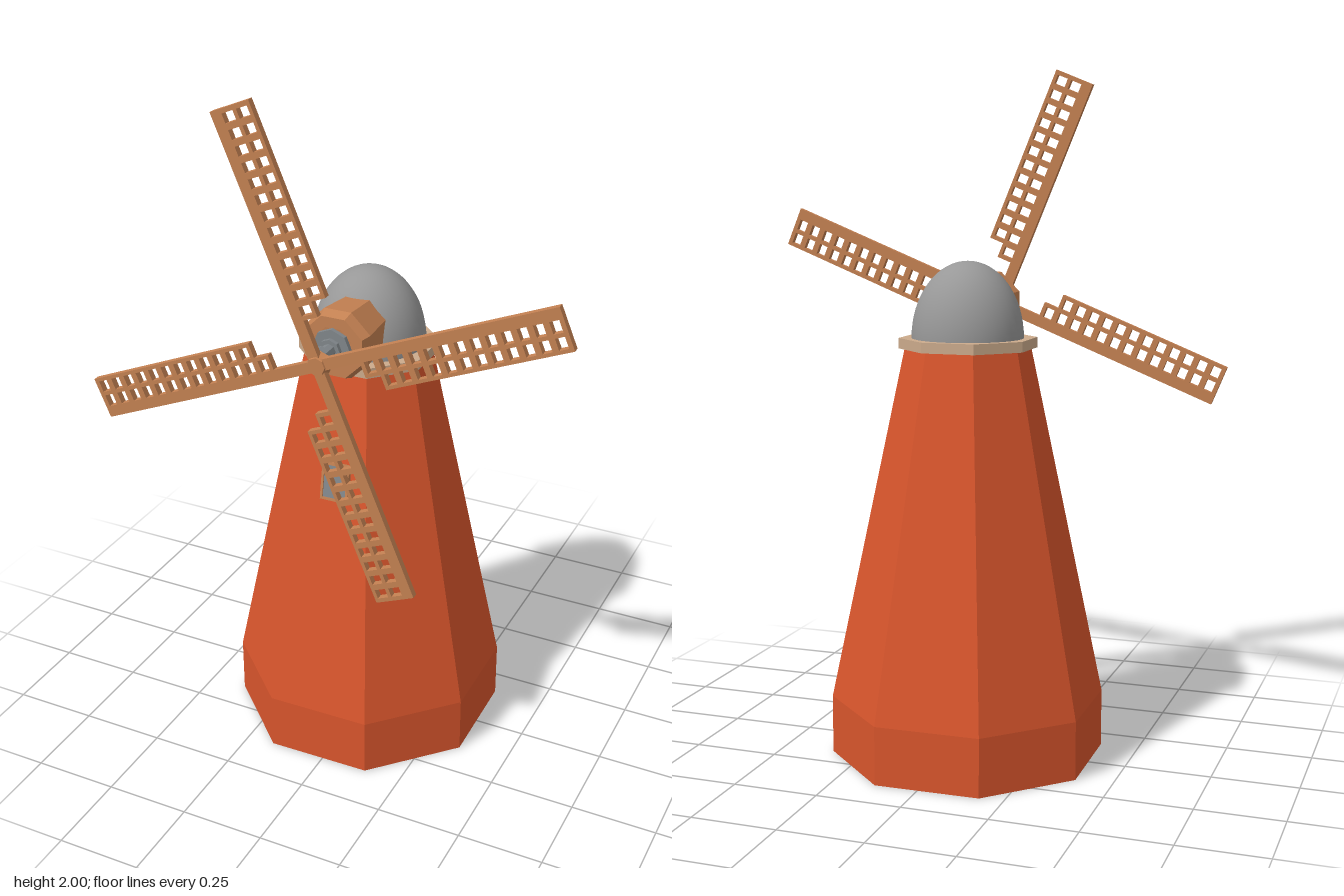
import * as THREE from 'three';

const mat = (color, flat = true) =>
  new THREE.MeshStandardMaterial({ color, flatShading: flat, side: THREE.DoubleSide });
const red = mat(0xd8552c);
const wood = mat(0xc48152);
const stone = mat(0xccab8c);
const steel = mat(0x80868a);
const domeGrey = mat(0x989898, false);

function add(parent, name, geometry, material, x = 0, y = 0, z = 0) {
  const mesh = new THREE.Mesh(geometry, material);
  mesh.name = name;
  mesh.position.set(x, y, z);
  parent.add(mesh);
  return mesh;
}

// Eight-sided lathe with flat sides facing the axes; profile is [flat radius, height]
function octagon(profile) {
  const k = 1 / Math.cos(Math.PI / 8);
  const pts = profile.map(([r, h]) => new THREE.Vector2(r * k, h));
  return new THREE.LatheGeometry(pts, 8, Math.PI / 8);
}

const rect = (Type, x0, y0, x1, y1) =>
  new Type([[x0, y0], [x1, y0], [x1, y1], [x0, y1]].map(([x, y]) => new THREE.Vector2(x, y)));

// Sail pointing up: spar on the axis, stepped lattice on its +x side
function sailGeometry() {
  const shape = new THREE.Shape([
    [-0.016, 0], [0.016, 0], [0.016, 0.13], [0.06, 0.13], [0.06, 0.175],
    [0.104, 0.175], [0.104, 0.715], [-0.016, 0.715],
  ].map(([x, y]) => new THREE.Vector2(x, y)));
  const pitch = 0.0445;
  for (let row = -1; row < 12; row++) {
    const y0 = 0.186 + row * pitch;
    const y1 = y0 + 0.027;
    shape.holes.push(rect(THREE.Path, 0.016, y0, 0.05, y1));
    if (row >= 0) shape.holes.push(rect(THREE.Path, 0.061, y0, 0.094, y1));
  }
  const geometry = new THREE.ExtrudeGeometry(shape, { depth: 0.02, bevelEnabled: false });
  return geometry.translate(0, 0, -0.01);
}

export function createModel() {
  const model = new THREE.Group();
  model.name = 'windmill';

  // Tower: straight plinth, long taper, open underneath
  const body = new THREE.Group();
  body.name = 'body';
  body.position.set(-0.02, 0, -0.004);
  body.rotation.y = 0.018;
  model.add(body);
  add(body, 'tower', octagon([[0.37, 0], [0.37, 0.17], [0.168, 1.205]]), red);
  add(body, 'cornice', octagon([[0, 1.2], [0.185, 1.2], [0.185, 1.23], [0, 1.23]]), stone);

  // Domed cap
  const dome = new THREE.SphereGeometry(0.162, 32, 16, 0, Math.PI * 2, 0, Math.PI / 2);
  dome.scale(1, 0.22 / 0.162, 1);
  add(body, 'dome', dome, domeGrey, 0, 1.23, -0.003);

  // Small window lying on the sloping front wall
  const windowGroup = new THREE.Group();
  windowGroup.name = 'window';
  windowGroup.position.set(0.004, 0.883, 0.231);
  windowGroup.rotation.x = -Math.atan2(0.202, 1.035);
  body.add(windowGroup);
  const frame = rect(THREE.Shape, -0.042, -0.056, 0.042, 0.056);
  frame.holes.push(rect(THREE.Path, -0.035, -0.049, 0.035, 0.049));
  add(windowGroup, 'windowFrame',
    new THREE.ExtrudeGeometry(frame, { depth: 0.014, bevelEnabled: false }), wood);
  add(windowGroup, 'windowPane', new THREE.BoxGeometry(0.07, 0.098, 0.02), steel);

  // Axle assembly, built along y and turned to face the front
  const axle = new THREE.Group();
  axle.name = 'axle';
  axle.position.set(-0.008, 1.31, 0);
  axle.rotation.x = Math.PI / 2;
  model.add(axle);
  add(axle, 'housing', octagon([
    [0, 0.09], [0.084, 0.09], [0.097, 0.215], [0.086, 0.245], [0.055, 0.245], [0, 0.24],
  ]), wood);
  const discs = [
    ['flange', 0.057, 0.24, 0.258],
    ['shaft', 0.02, 0.25, 0.355],
    ['innerCollar', 0.032, 0.258, 0.27],
    ['outerCollar', 0.032, 0.312, 0.332],
  ];
  for (const [name, r, z0, z1] of discs) {
    add(axle, name, new THREE.CylinderGeometry(r, r, z1 - z0, 8), steel, 0, (z0 + z1) / 2, 0);
  }

  // Rotor: four sails around the hub, turned slightly to one side
  const rotor = new THREE.Group();
  rotor.name = 'rotor';
  rotor.position.set(-0.002, 1.302, 0.347);
  rotor.rotation.y = 0.036;
  model.add(rotor);
  const hub = new THREE.CylinderGeometry(0.026, 0.036, 0.03, 8).rotateX(Math.PI / 2);
  add(rotor, 'hub', hub, wood);
  const sail = sailGeometry();
  for (let i = 0; i < 4; i++) {
    add(rotor, 'sail', sail, wood).rotation.z = 0.388 + i * Math.PI / 2;
  }

  return model;
}
